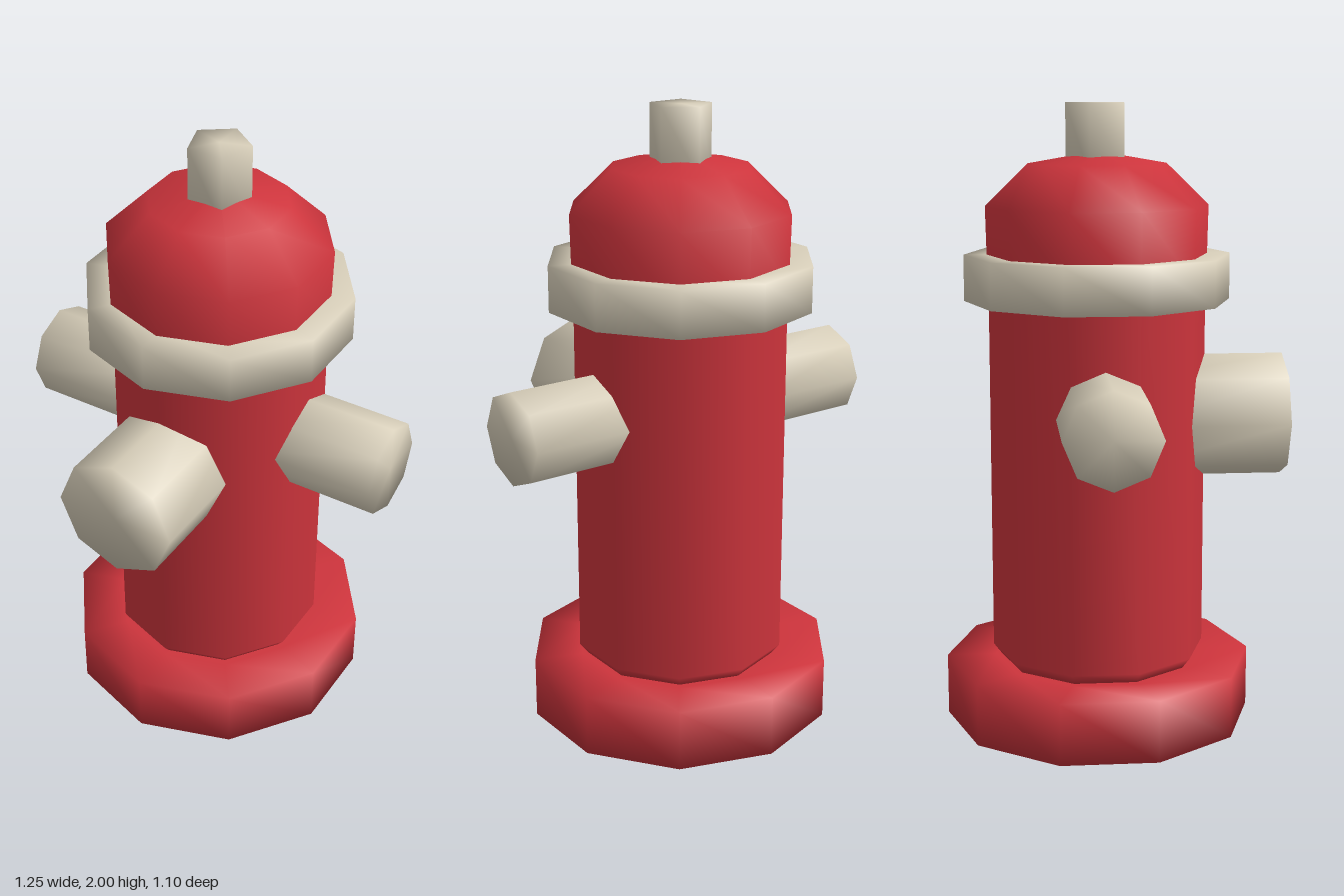
import * as THREE from 'three';

export function createModel() {
  const model = new THREE.Group();
  model.name = 'fireHydrant';

  const red = new THREE.MeshStandardMaterial({ color: 0xcd343c });
  red.name = 'red paint';
  const beige = new THREE.MeshStandardMaterial({ color: 0xd8cfba });
  beige.name = 'beige metal';

  // The barrel axis sits slightly behind the centre
  const axisZ = -0.05;

  // Smooth, low-sided turned part from a [radius, height] profile
  function turned(name, profile, sides, material, position = [0, 0, axisZ]) {
    const points = profile.map(([r, y]) => new THREE.Vector2(r, y));
    const mesh = new THREE.Mesh(new THREE.LatheGeometry(points, sides), material);
    mesh.name = name;
    mesh.position.set(...position);
    model.add(mesh);
    return mesh;
  }

  // Closed straight cylinder profile
  const drum = (r, y0, y1) => [[0, y0], [r, y0], [r, y1], [0, y1]];

  // Base, barrel, collar and dome
  turned('base', [[0, 0], [0.5, 0], [0.5, 0.2], [0.34, 0.2], [0, 0.2]], 10, red);
  turned('barrel', [[0, 0.19], [0.32, 0.2], [0.347, 0.235], [0.347, 1.45]], 10, red);
  turned('collar', [[0.33, 1.38], [0.425, 1.38], [0.425, 1.527], [0.33, 1.527]], 10, beige);
  turned('dome', [[0.35, 1.45], [0.355, 1.68], [0.22, 1.812], [0, 1.85]], 10, red);

  // Five-sided operating nut, one corner to the back
  turned('topNut', drum(0.1, 1.78, 2), 5, beige).rotation.y = Math.PI;

  // Large front outlet
  turned('frontOutlet', drum(0.2, 0, 0.5), 8, beige, [0, 1, 0.05]).rotation.x = Math.PI / 2;

  // Pair of side outlets
  for (const side of [1, -1]) {
    const outlet = turned(side > 0 ? 'leftOutlet' : 'rightOutlet',
      drum(0.15, 0, 0.425), 8, beige, [side * 0.2, 1.05, axisZ]);
    outlet.rotation.z = -side * Math.PI / 2;
  }

  return model;
}
